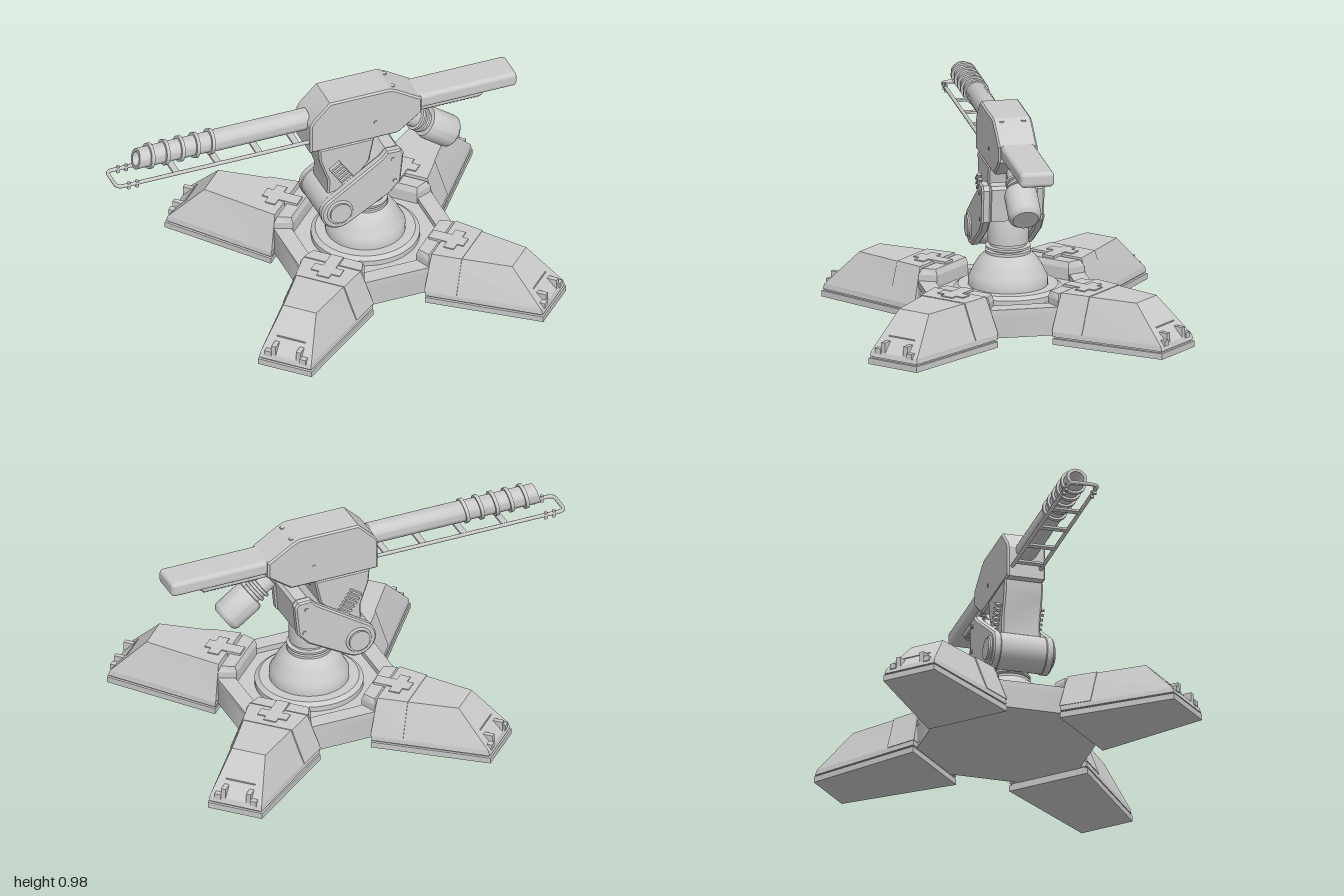
import * as THREE from 'three';
import { toCreasedNormals } from 'three/addons/utils/BufferGeometryUtils.js';
import { RoundedBoxGeometry } from 'three/addons/geometries/RoundedBoxGeometry.js';

const mat = new THREE.MeshStandardMaterial({ color: 0xcccccc, side: THREE.DoubleSide });

function add(parent, name, geo, x = 0, y = 0, z = 0) {
  const m = new THREE.Mesh(geo, mat);
  m.name = name;
  m.position.set(x, y, z);
  parent.add(m);
  return m;
}
const box = (w, h, d) => new THREE.BoxGeometry(w, h, d);
const cyl = (r0, r1, h, n = 32) => new THREE.CylinderGeometry(r0, r1, h, n);
const zCyl = (r, h, n = 32) => cyl(r, r, h, n).rotateX(Math.PI / 2);
const lathe = (pts, n = 48) =>
  toCreasedNormals(new THREE.LatheGeometry(pts.map(p => new THREE.Vector2(...p)), n), 0.6);

// side profile in x,y extruded symmetrically in z with a small bevel
function slab(pts, width, bevel = 0.008) {
  const g = new THREE.ExtrudeGeometry(new THREE.Shape(pts.map(p => new THREE.Vector2(...p))), {
    depth: width - 2 * bevel, bevelEnabled: bevel > 0, bevelSize: bevel,
    bevelOffset: -bevel, bevelThickness: bevel, bevelSegments: 1, curveSegments: 12 });
  g.translate(0, 0, -width / 2 + bevel);
  return toCreasedNormals(g, 0.4);
}

// stacked trapezoids [y, innerR, innerHalf, outerR, outerHalf] with flat faces
function loft(rows) {
  const rings = rows.map(([y, r0, t0, r1, t1]) => [[r0, y, -t0], [r1, y, -t1], [r1, y, t1], [r0, y, t0]]);
  const v = [];
  const quad = (a, b, c, d) => v.push(...a, ...b, ...c, ...a, ...c, ...d);
  for (let i = 0; i + 1 < rings.length; i++)
    for (let j = 0; j < 4; j++) {
      const k = (j + 1) % 4, lo = rings[i], hi = rings[i + 1];
      quad(lo[j], hi[j], hi[k], lo[k]);
    }
  quad(...rings[0]);
  quad(...[...rings[rings.length - 1]].reverse());
  const g = new THREE.BufferGeometry();
  g.setAttribute('position', new THREE.Float32BufferAttribute(v, 3));
  g.computeVertexNormals();
  return g;
}

function makeLeg() {
  const g = new THREE.Group();
  g.name = 'leg';
  add(g, 'footPlate', loft([[0, 0.375, 0.2, 0.922, 0.13], [0.028, 0.375, 0.2, 0.922, 0.13]]));
  add(g, 'footSeam', loft([[0.028, 0.38, 0.188, 0.91, 0.12], [0.036, 0.38, 0.188, 0.91, 0.12]]));
  add(g, 'legShell', loft([
    [0.036, 0.375, 0.198, 0.918, 0.127], [0.06, 0.375, 0.196, 0.91, 0.124],
    [0.225, 0.385, 0.135, 0.75, 0.08]]));
  // inner collar panel and toe bracket
  add(g, 'legCollar', loft([
    [0.06, 0.372, 0.2, 0.52, 0.18], [0.228, 0.382, 0.139, 0.52, 0.119]]));
  for (const s of [-1, 1]) {
    add(g, 'toeBracket', box(0.09, 0.05, 0.022), 0.865, 0.082, s * 0.06);
    add(g, 'toeTab', box(0.025, 0.025, 0.03), 0.905, 0.066, s * 0.085);
  }
  add(g, 'toeLip', box(0.03, 0.016, 0.14), 0.835, 0.118, 0);
  // corner block of the hub and the clamp locking the leg to it
  add(g, 'hubCorner', loft([
    [0.035, 0.3, 0.124, 0.378, 0.157], [0.195, 0.3, 0.124, 0.378, 0.157], [0.222, 0.31, 0.12, 0.37, 0.14]]));
  add(g, 'clampArm', box(0.17, 0.05, 0.06), 0.405, 0.208, 0);
  add(g, 'clampBar', box(0.05, 0.05, 0.14), 0.435, 0.208, 0);
  return g;
}

export function createModel() {
  const model = new THREE.Group();
  model.name = 'turret';

  // base
  const base = new THREE.Group();
  base.name = 'base';
  base.position.x = 0.235;
  model.add(base);
  const k = 1 / Math.cos(Math.PI / 8);
  const hub = cyl(0.38 * k, 0.38 * k, 0.105, 8).rotateY(Math.PI / 8);
  add(base, 'hub', hub, 0, 0.0875, 0);
  const octagon = (r, T) => {
    const s = new T();
    for (let i = 0; i < 8; i++) {
      const a = (i + 0.5) * Math.PI / 4;
      s[i ? 'lineTo' : 'moveTo'](r * k * Math.cos(a), r * k * Math.sin(a));
    }
    s.closePath();
    return s;
  };
  const rim = octagon(0.38, THREE.Shape);
  rim.holes.push(octagon(0.305, THREE.Path));
  add(base, 'hubRim', new THREE.ExtrudeGeometry(rim, { depth: 0.027, bevelEnabled: false })
    .rotateX(-Math.PI / 2), 0, 0.139, 0);
  for (let i = 0; i < 4; i++) {
    const leg = makeLeg();
    leg.rotation.y = Math.PI / 4 + i * Math.PI / 2;
    base.add(leg);
  }
  add(base, 'dome', lathe([[0.245, 0.13], [0.245, 0.165], [0.225, 0.18], [0.18, 0.18], [0.18, 0.215],
    [0.168, 0.235], [0.15, 0.272], [0.128, 0.305], [0.102, 0.328], [0.102, 0.34], [0, 0.34]]));
  add(base, 'column', lathe([[0.08, 0.335], [0.08, 0.348], [0.102, 0.35], [0.102, 0.36], [0.082, 0.362],
    [0.082, 0.374], [0.092, 0.376], [0.092, 0.47], [0.075, 0.53], [0, 0.54]]));

  // lower arm: twin side plates around a wide pivot
  const arm = new THREE.Group();
  arm.name = 'lowerArm';
  model.add(arm);
  const profile = [[0.3, 0.445], [0.35, 0.5], [0.365, 0.65], [0.35, 0.672], [0.285, 0.675], [0.26, 0.645], [0.0, 0.472]];
  for (let i = 1; i <= 10; i++) {
    const a = THREE.MathUtils.degToRad(128 + i * 17);
    profile.push([0.055 + 0.088 * Math.cos(a), 0.405 + 0.088 * Math.sin(a)]);
  }
  for (const s of [-1, 1]) {
    add(arm, 'armPlate', slab(profile, 0.042), 0, 0, s * 0.122);
    add(arm, 'pivotCap', zCyl(0.05, 0.02), 0.055, 0.405, s * 0.147);
    add(arm, 'pivotRing', new THREE.TorusGeometry(0.055, 0.007, 8, 32), 0.055, 0.405, s * 0.143);
    for (const [x, y] of [[0.31, 0.63], [0.32, 0.51]])
      add(arm, 'bolt', zCyl(0.01, 0.008, 12), x, y, s * 0.144);
  }
  add(arm, 'pivotDrum', zCyl(0.084, 0.21), 0.055, 0.405, 0);
  add(arm, 'armHead', slab([[0.19, 0.49], [0.345, 0.5], [0.358, 0.65], [0.345, 0.665], [0.29, 0.667], [0.26, 0.635], [0.19, 0.59]], 0.21));

  // upper arm from the pivot to the receiver
  const upper = new THREE.Group();
  upper.name = 'upperArm';
  model.add(upper);
  add(upper, 'upperArmBody', slab([[-0.025, 0.73], [-0.02, 0.665], [0.02, 0.55], [0.015, 0.42], [0.12, 0.4],
    [0.155, 0.53], [0.22, 0.61], [0.245, 0.73]], 0.18));
  for (const s of [-1, 1])
    for (let i = 0; i < 6; i++) {
      const rib = add(upper, 'ventRib', box(0.06, 0.01, 0.06), 0.05 + i * 0.012, 0.63 - i * 0.018, s * 0.08);
      rib.rotation.z = 0.6;
    }
  const rod = add(upper, 'pistonRod', cyl(0.01, 0.01, 0.13, 12), 0.27, 0.7, 0);
  rod.rotation.z = -0.95;

  // receiver and rear stock
  const gun = new THREE.Group();
  gun.name = 'gun';
  model.add(gun);
  add(gun, 'receiver', slab([[-0.065, 0.725], [0.36, 0.725], [0.475, 0.81], [0.475, 0.885], [0.355, 0.96],
    [0.32, 0.975], [0.03, 0.975], [-0.05, 0.895], [-0.065, 0.87]], 0.178));
  for (const s of [-1, 1]) {
    add(gun, 'receiverBolt', zCyl(0.009, 0.006, 12), 0.25, 0.815, s * 0.089);
    add(gun, 'topBolt', cyl(0.011, 0.011, 0.006, 12), 0.345, 0.966, s * 0.05);
  }
  add(gun, 'stock', new RoundedBoxGeometry(0.5, 0.07, 0.156, 3, 0.02), 0.69, 0.855, 0);
  add(gun, 'stockRail', slab([[0.45, 0.79], [0.77, 0.79], [0.79, 0.805], [0.79, 0.825], [0.45, 0.825]], 0.1, 0.005));
  for (let i = 0; i < 16; i++) add(gun, 'railTooth', box(0.008, 0.008, 0.08), 0.51 + i * 0.017, 0.787, 0);

  // drive motor hanging under the rear
  const motor = add(gun, 'motor', lathe([[0, -0.085], [0.058, -0.085], [0.072, -0.072], [0.075, -0.06],
    [0.075, 0.06], [0.068, 0.078], [0.048, 0.08], [0.048, 0.094], [0.058, 0.096], [0.058, 0.108], [0.048, 0.11],
    [0.048, 0.122], [0.058, 0.124], [0.058, 0.136], [0.045, 0.138], [0.045, 0.19], [0, 0.19]]), 0.585, 0.64, 0);
  motor.rotation.z = 0.94;

  // hollow barrel with a slanted muzzle
  const barrel = lathe([[0.032, -0.6], [0.032, -0.875], [0.047, -0.875], [0.047, -0.52], [0.05, -0.515],
    [0.05, -0.05]], 32).rotateZ(-Math.PI / 2);
  const p = barrel.attributes.position;
  for (let i = 0; i < p.count; i++) if (p.getX(i) < -0.87) p.setX(i, p.getX(i) + 0.25 * p.getY(i));
  add(gun, 'barrel', barrel, 0, 0.858, 0);
  add(gun, 'barrelPlug', cyl(0.033, 0.033, 0.01).rotateZ(Math.PI / 2), -0.6, 0.858, 0);
  for (let i = 0; i < 5; i++) {
    const ring = add(gun, 'coolingRing', lathe([[0.044, -0.008], [0.059, -0.008], [0.059, 0.008], [0.044, 0.008]], 32),
      -0.812 + i * 0.073, 0.858, 0);
    ring.rotation.z = Math.PI / 2 - 0.14;
  }

  // looped guide frame below the barrel
  const path = new THREE.CurvePath();
  const V = (x, z) => new THREE.Vector3(x, 0.775, z);
  path.add(new THREE.LineCurve3(V(0.05, 0.066), V(-0.96, 0.066)));
  path.add(new THREE.QuadraticBezierCurve3(V(-0.96, 0.066), V(-0.991, 0.066), V(-0.991, 0.035)));
  path.add(new THREE.LineCurve3(V(-0.991, 0.035), V(-0.991, -0.035)));
  path.add(new THREE.QuadraticBezierCurve3(V(-0.991, -0.035), V(-0.991, -0.066), V(-0.96, -0.066)));
  path.add(new THREE.LineCurve3(V(-0.96, -0.066), V(0.05, -0.066)));
  add(gun, 'guideFrame', new THREE.TubeGeometry(path, 240, 0.009, 8, false));
  for (const x of [-0.7, -0.5, -0.3, -0.12]) add(gun, 'frameBrace', box(0.03, 0.01, 0.13), x, 0.772, 0);
  for (const s of [-1, 1])
    for (const x of [-0.935, -0.895])
      add(gun, 'framePeg', cyl(0.008, 0.008, 0.034, 10), x, 0.772, s * 0.066);

  return model;
}
